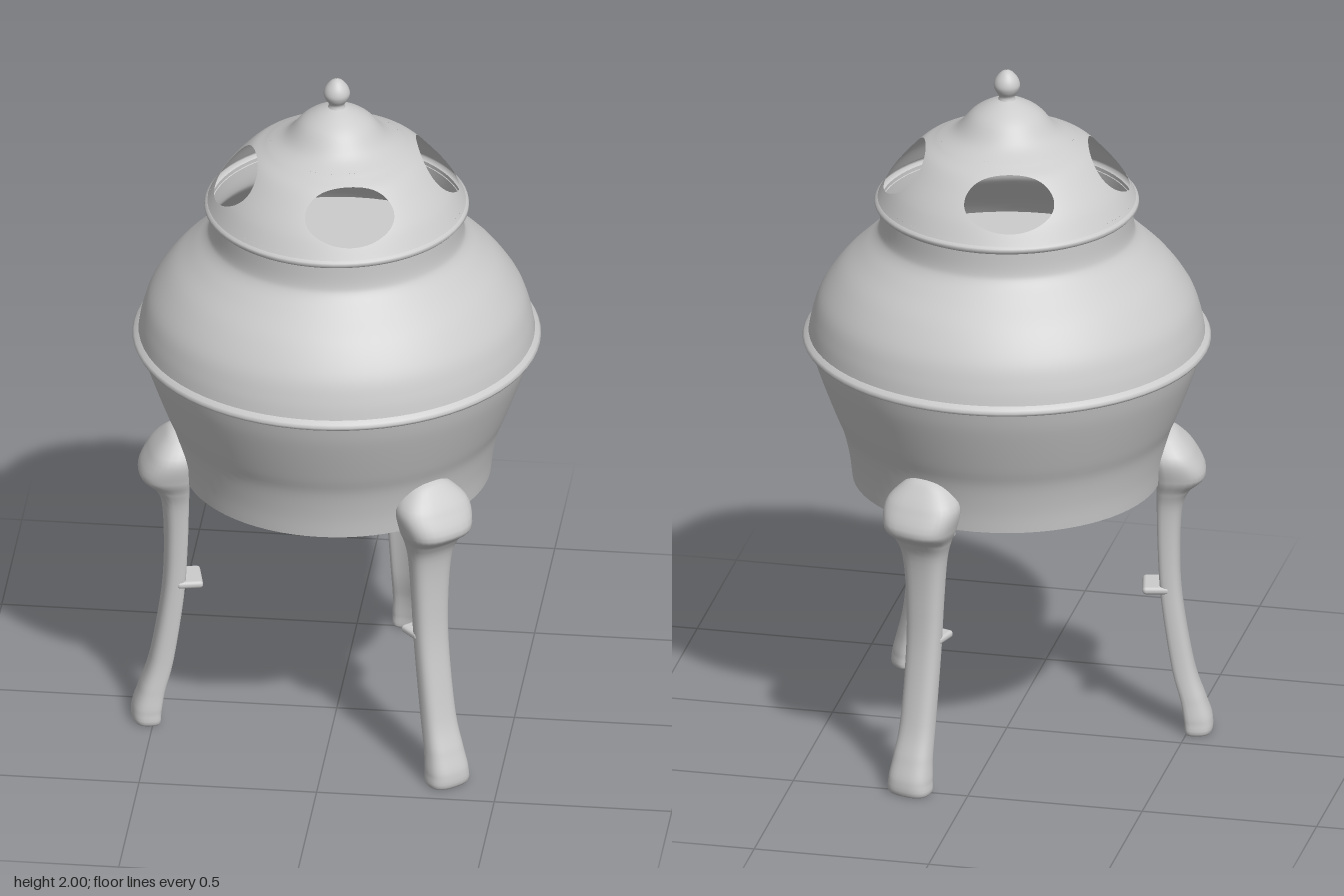
import * as THREE from 'three';
import { ParametricGeometry } from 'three/addons/geometries/ParametricGeometry.js';
import { RoundedBoxGeometry } from 'three/addons/geometries/RoundedBoxGeometry.js';

const material = new THREE.MeshStandardMaterial({ color: 0xcccccc, side: THREE.DoubleSide });
const SEGMENTS = 72;
const rad = THREE.MathUtils.degToRad;

function add(parent, name, geometry) {
  const mesh = new THREE.Mesh(geometry, material);
  mesh.name = name;
  parent.add(mesh);
  return mesh;
}

const curve = (pairs) => new THREE.SplineCurve(pairs.map(([a, b]) => new THREE.Vector2(a, b)));

// Turned part: [radius, y] pairs from bottom to top, smoothed when steps > 0
function turned(pairs, steps = 0) {
  const points = steps ? curve(pairs).getPoints(steps) : pairs.map(([r, y]) => new THREE.Vector2(r, y));
  return new THREE.LatheGeometry(points, SEGMENTS);
}

// Lid outline from rim to neck of the finial
const lidOutline = curve([
  [0.362, 1.615], [0.33, 1.67], [0.29, 1.72], [0.245, 1.765], [0.2, 1.79],
  [0.145, 1.82], [0.1, 1.87], [0.06, 1.897], [0.022, 1.913],
]);
const BAND_LOW = 0.25 / 8, BAND_HIGH = 4.25 / 8;

function lidSlice(from, to, steps) {
  const points = [];
  for (let i = 0; i <= steps; i++) points.push(lidOutline.getPoint(from + (to - from) * i / steps));
  return new THREE.LatheGeometry(points, SEGMENTS);
}

// Quarter of the pierced band: rings running from an oval hole out to the quarter's edges
function piercedQuarter(centreAngle) {
  const middle = 2.0 / 8, holeHalfHeight = 1.4 / 8, holeHalfAngle = 0.44;
  return new ParametricGeometry((u, v, target) => {
    const a = u * Math.PI * 2, c = Math.cos(a), s = Math.sin(a);
    const m = Math.max(Math.abs(c), Math.abs(s));
    const edgeT = (s > 0 ? BAND_HIGH - middle : middle - BAND_LOW) * s / m;
    const angle = centreAngle + THREE.MathUtils.lerp(holeHalfAngle * c, Math.PI / 4 * c / m, v);
    const t = middle + THREE.MathUtils.lerp(holeHalfHeight * s, edgeT, v);
    const p = lidOutline.getPoint(THREE.MathUtils.clamp(t, 0, 1));
    target.set(p.x * Math.cos(angle), p.y, p.x * Math.sin(angle));
  }, 72, 8);
}

// Leg sections from foot to knee: y, inner radius, outer radius, half width
const legSections = [
  [0, 0.529, 0.531, 0.002], [0, 0.488, 0.572, 0.058], [0.04, 0.48, 0.576, 0.062],
  [0.1, 0.472, 0.557, 0.056], [0.2, 0.448, 0.525, 0.05], [0.4, 0.42, 0.492, 0.05],
  [0.55, 0.41, 0.485, 0.054], [0.68, 0.405, 0.492, 0.064], [0.74, 0.4, 0.515, 0.08],
  [0.785, 0.39, 0.558, 0.1], [0.85, 0.39, 0.53, 0.108], [0.9, 0.39, 0.49, 0.07],
  [0.92, 0.4, 0.465, 0.035], [0.925, 0.429, 0.431, 0.002],
];

function legGeometry() {
  const heights = curve(legSections.map(([y, , , w]) => [y, w]));
  const radii = curve(legSections.map(([, inner, outer]) => [inner, outer]));
  const soften = (n) => Math.sign(n) * Math.pow(Math.abs(n), 0.75);
  return new ParametricGeometry((u, v, target) => {
    const a = u * Math.PI * 2, c = Math.cos(a);
    const h = heights.getPoint(v), r = radii.getPoint(v);
    const half = (r.y - r.x) / 2;
    // shallow channel down the inner face
    const channel = c < 0 ? 0.45 * half * Math.pow(-c, 4) : 0;
    target.set((r.x + r.y) / 2 + half * soften(c) + channel, Math.max(0, h.x), -h.y * soften(Math.sin(a)));
  }, 28, 52);
}

export function createModel() {
  const model = new THREE.Group();
  model.name = 'footedBurner';

  // Bowl
  const bowl = new THREE.Group();
  bowl.name = 'bowl';
  model.add(bowl);
  add(bowl, 'bowlBase', turned([[0.001, 0.765], [0.25, 0.765], [0.41, 0.768], [0.432, 0.775]]));
  add(bowl, 'lowerBowl', turned([
    [0.432, 0.775], [0.44, 0.84], [0.458, 0.92], [0.482, 0.98], [0.512, 1.06], [0.536, 1.13], [0.55, 1.185],
  ], 24));
  add(bowl, 'flange', turned([[0.55, 1.183], [0.568, 1.187], [0.572, 1.195], [0.567, 1.203], [0.555, 1.212]]));
  add(bowl, 'shoulder', turned([
    [0.555, 1.21], [0.545, 1.26], [0.522, 1.325], [0.47, 1.4], [0.41, 1.46],
    [0.368, 1.503], [0.356, 1.535], [0.354, 1.6],
  ], 32));
  add(bowl, 'innerFloor', turned([[0.49, 1.36], [0.001, 1.36]]));

  // Pierced lid
  const lid = new THREE.Group();
  lid.name = 'lid';
  model.add(lid);
  add(lid, 'lidRim', turned([[0.352, 1.588], [0.364, 1.594], [0.371, 1.602], [0.369, 1.61], [0.362, 1.615]]));
  add(lid, 'lidSkirt', lidSlice(0, BAND_LOW, 2));
  add(lid, 'lidCrown', lidSlice(BAND_HIGH, 1, 20));
  for (let i = 0; i < 4; i++) add(lid, 'piercedPanel', piercedQuarter(rad(76 + i * 90)));
  add(lid, 'finial', turned([
    [0.026, 1.908], [0.022, 1.922], [0.032, 1.938], [0.037, 1.955], [0.031, 1.975], [0.016, 1.993], [0.001, 2],
  ], 24));

  // Three legs with a small ledge on the inner face
  const legShape = legGeometry();
  const ledgeShape = new RoundedBoxGeometry(0.075, 0.022, 0.106, 2, 0.01);
  for (const angle of [48, 168, 288]) {
    const leg = new THREE.Group();
    leg.name = 'leg';
    leg.rotation.y = -rad(angle);
    add(leg, 'legPost', legShape);
    add(leg, 'legLedge', ledgeShape).position.set(0.417, 0.437, 0);
    model.add(leg);
  }
  return model;
}
